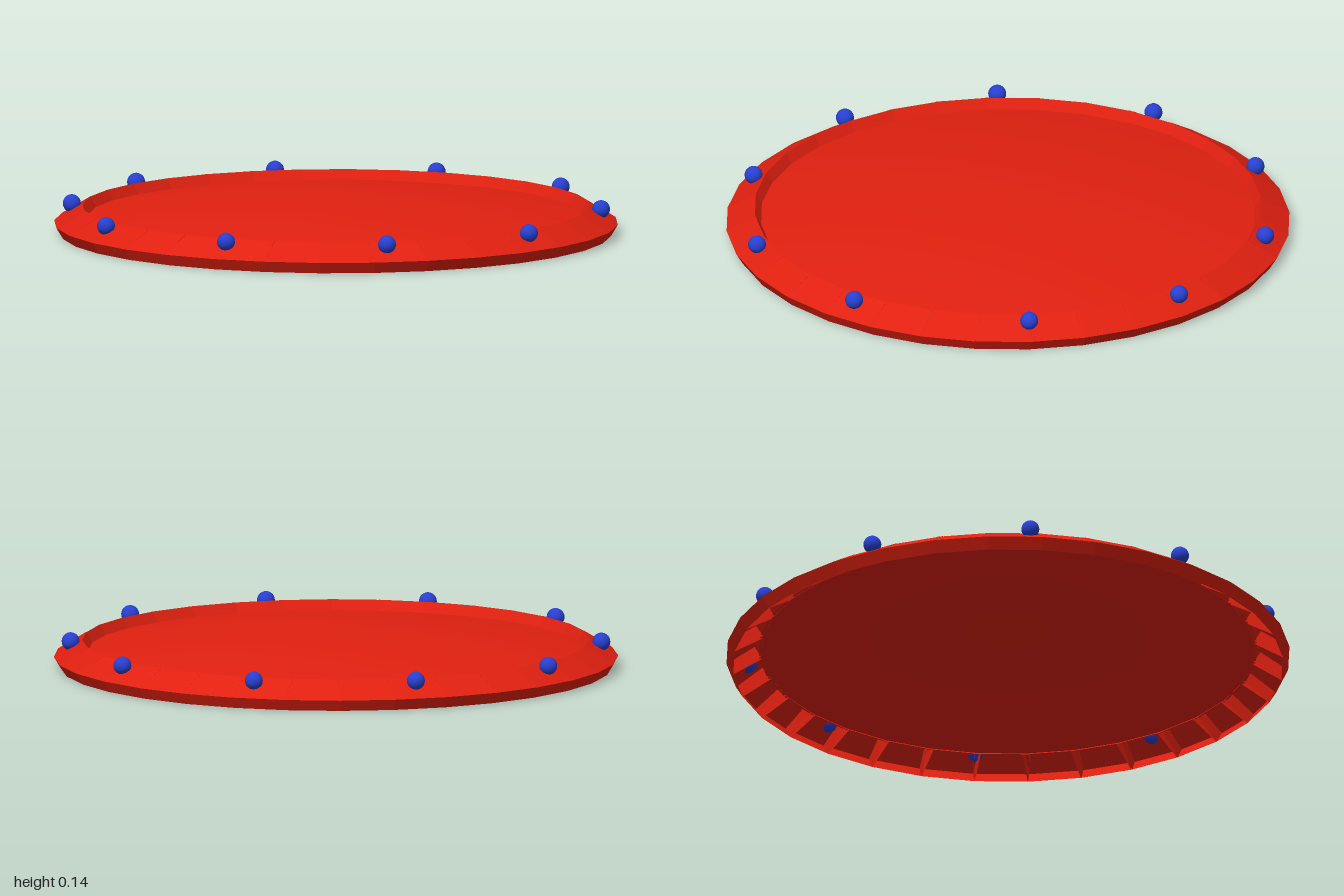
import * as THREE from 'three';

const SEGMENTS = 32;
const STUDS = 10;

// Box shell without its underside
function openBox(width, height, depth) {
  const geometry = new THREE.BoxGeometry(width, height, depth);
  const index = Array.from(geometry.index.array);
  index.splice(18, 6);
  geometry.setIndex(index);
  geometry.clearGroups();
  return geometry;
}

export function createModel() {
  const model = new THREE.Group();
  const red = new THREE.MeshStandardMaterial({ color: 0xe02010, side: THREE.DoubleSide });
  const blue = new THREE.MeshStandardMaterial({ color: 0x2840d0 });

  // Shallow domed panel, open underneath
  const profile = [];
  for (let i = 0; i <= 10; i++) {
    const r = 0.885 * (1 - i / 10);
    profile.push(new THREE.Vector2(r, 0.14 - 0.098 * r * r));
  }
  const dome = new THREE.Mesh(new THREE.LatheGeometry(profile, SEGMENTS), red);
  dome.name = 'domePanel';
  model.add(dome);

  // Rim of straight blocks sloping outwards
  const rim = new THREE.Group();
  rim.name = 'rim';
  const block = openBox(0.195, 0.047, 0.117);
  block.rotateX(Math.atan2(0.06, 0.1));
  block.translate(0, 0.0503, 0.9325);
  for (let i = 0; i < SEGMENTS; i++) {
    const mesh = new THREE.Mesh(block, red);
    mesh.name = 'rimBlock';
    mesh.rotation.y = ((i + 0.5) / SEGMENTS) * Math.PI * 2;
    rim.add(mesh);
  }
  model.add(rim);

  // Round studs on the rim, with a slightly wider gap after the last one
  const studs = new THREE.Group();
  studs.name = 'studs';
  const ball = new THREE.SphereGeometry(0.032, 20, 14);
  for (let i = 0; i < STUDS; i++) {
    const angle = THREE.MathUtils.degToRad(45 + (i * 320) / 9);
    const mesh = new THREE.Mesh(ball, blue);
    mesh.name = 'stud';
    mesh.position.set(Math.sin(angle) * 0.94, 0.096, Math.cos(angle) * 0.94);
    studs.add(mesh);
  }
  model.add(studs);

  return model;
}
